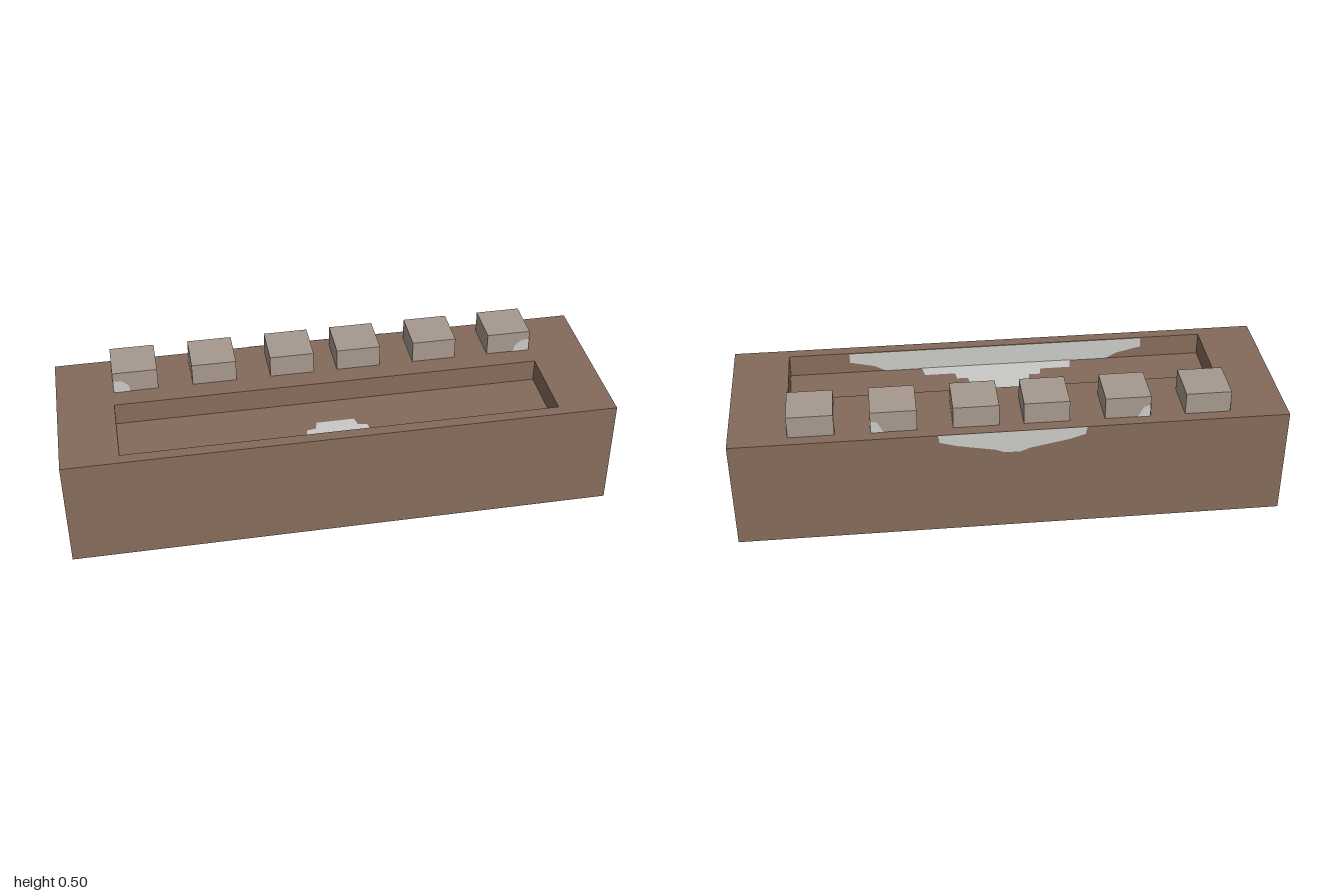
import * as THREE from 'three';

const W = 2, D = 0.626, H = 0.417;      // body size
const DEPTH = 0.085;                    // recess depth
const FLOOR = H - DEPTH;
const SKIN = 0.002;                     // offset of painted patches
const SIZE = 0.164, BLOCK_H = 0.083, BLOCK_Z = -0.188;

const brown = new THREE.MeshStandardMaterial({ color: 0x846b5a });
brown.name = 'brown';
const taupe = new THREE.MeshStandardMaterial({ color: 0xa6988d });
taupe.name = 'taupe';
const paleGrey = new THREE.MeshStandardMaterial({ color: 0xc9c9c6, side: THREE.DoubleSide });
paleGrey.name = 'paleGrey';

function rect(target, x0, y0, x1, y1) {
  target.moveTo(x0, y0);
  target.lineTo(x1, y0);
  target.lineTo(x1, y1);
  target.lineTo(x0, y1);
  target.closePath();
  return target;
}

// Flat patch: outline points [u, v] placed in space by the rule place(u, v)
function patch(name, points, place) {
  const geo = new THREE.ShapeGeometry(new THREE.Shape(points.map(([u, v]) => new THREE.Vector2(u, v))));
  const pos = geo.attributes.position;
  for (let i = 0; i < pos.count; i++) pos.setXYZ(i, ...place(pos.getX(i), pos.getY(i)));
  geo.computeVertexNormals();
  const mesh = new THREE.Mesh(geo, paleGrey);
  mesh.name = name;
  return mesh;
}

// Completes a half outline (x > 0) by mirroring it
const mirrored = (half) => [...half, ...half.map(([x, y]) => [-x, y]).reverse()];

export function createModel() {
  const model = new THREE.Group();
  model.name = 'blockTray';

  // Body: solid base and a rim around the recess
  const body = new THREE.Group();
  body.name = 'body';
  const base = new THREE.Mesh(new THREE.BoxGeometry(W, FLOOR, D), brown);
  base.name = 'base';
  base.position.y = FLOOR / 2;
  const outline = rect(new THREE.Shape(), -W / 2, -D / 2, W / 2, D / 2);
  outline.holes.push(rect(new THREE.Path(), -0.793, -0.27, 0.793, 0.027));
  const rimGeo = new THREE.ExtrudeGeometry(outline, { depth: DEPTH, bevelEnabled: false });
  rimGeo.rotateX(-Math.PI / 2);
  const rim = new THREE.Mesh(rimGeo, brown);
  rim.name = 'rim';
  rim.position.y = FLOOR;
  body.add(base, rim);
  model.add(body);

  // Row of six blocks, mirrored about the middle
  const blockGeo = new THREE.BoxGeometry(SIZE, BLOCK_H, SIZE);
  for (const side of [-1, 1]) {
    [0.126, 0.417, 0.708].forEach((x, i) => {
      const block = new THREE.Mesh(blockGeo, taupe);
      block.name = `block${side < 0 ? 'Right' : 'Left'}${i + 1}`;
      block.position.set(side * x, H + BLOCK_H / 2, BLOCK_Z);
      model.add(block);
    });

    // Pale patches on the end blocks
    const endX = 0.708 + SIZE / 2, front = BLOCK_Z + SIZE / 2, back = BLOCK_Z - SIZE / 2;
    model.add(patch('endBlockSidePatch',
      [[front, H], [front, H + 0.052], [-0.195, H + 0.038], [back, H + 0.038], [back, H]],
      (z, y) => [side * (endX + SKIN), y, z]));
    model.add(patch('endBlockFrontPatch',
      [[endX, H], [endX, H + 0.052], [0.755, H + 0.046], [0.735, H + 0.028], [0.728, H]],
      (x, y) => [side * x, y, front + SKIN]));

    // Pale patches on the next blocks in
    const nextX = 0.417 + SIZE / 2;
    model.add(patch('nextBlockSidePatch',
      [[back, H], [back, H + 0.05], [-0.22, H + 0.045], [-0.195, H + 0.025], [-0.19, H]],
      (z, y) => [side * (nextX + SKIN), y, z]));
    model.add(patch('nextBlockBackPatch',
      [[nextX, H], [nextX, H + 0.05], [nextX - 0.025, H + 0.042], [nextX - 0.045, H]],
      (x, y) => [side * x, y, back - SKIN]));
  }

  // Stepped pale patch on the recess floor
  model.add(patch('floorPatch', mirrored([
    [0.29, 0.27], [0.28, 0.217], [0.165, 0.217], [0.16, 0.18], [0.118, 0.18],
    [0.112, 0.14], [0.078, 0.135], [0.07, 0.1],
  ]), (x, z) => [x, FLOOR + SKIN, z]));

  // Pale patch on the front wall of the recess
  model.add(patch('recessWallPatch', mirrored([
    [0.565, H - 0.003], [0.565, H - 0.04], [0.47, H - 0.062], [0.43, FLOOR],
  ]), (x, y) => [x, y, 0.27 - SKIN]));

  // Pale patch on the back of the body
  model.add(patch('backPatch', mirrored([
    [0.265, H], [0.26, H - 0.03], [0.2, H - 0.048], [0.06, H - 0.075], [0.03, H - 0.088],
  ]), (x, y) => [x, y, -D / 2 - SKIN]));

  return model;
}
